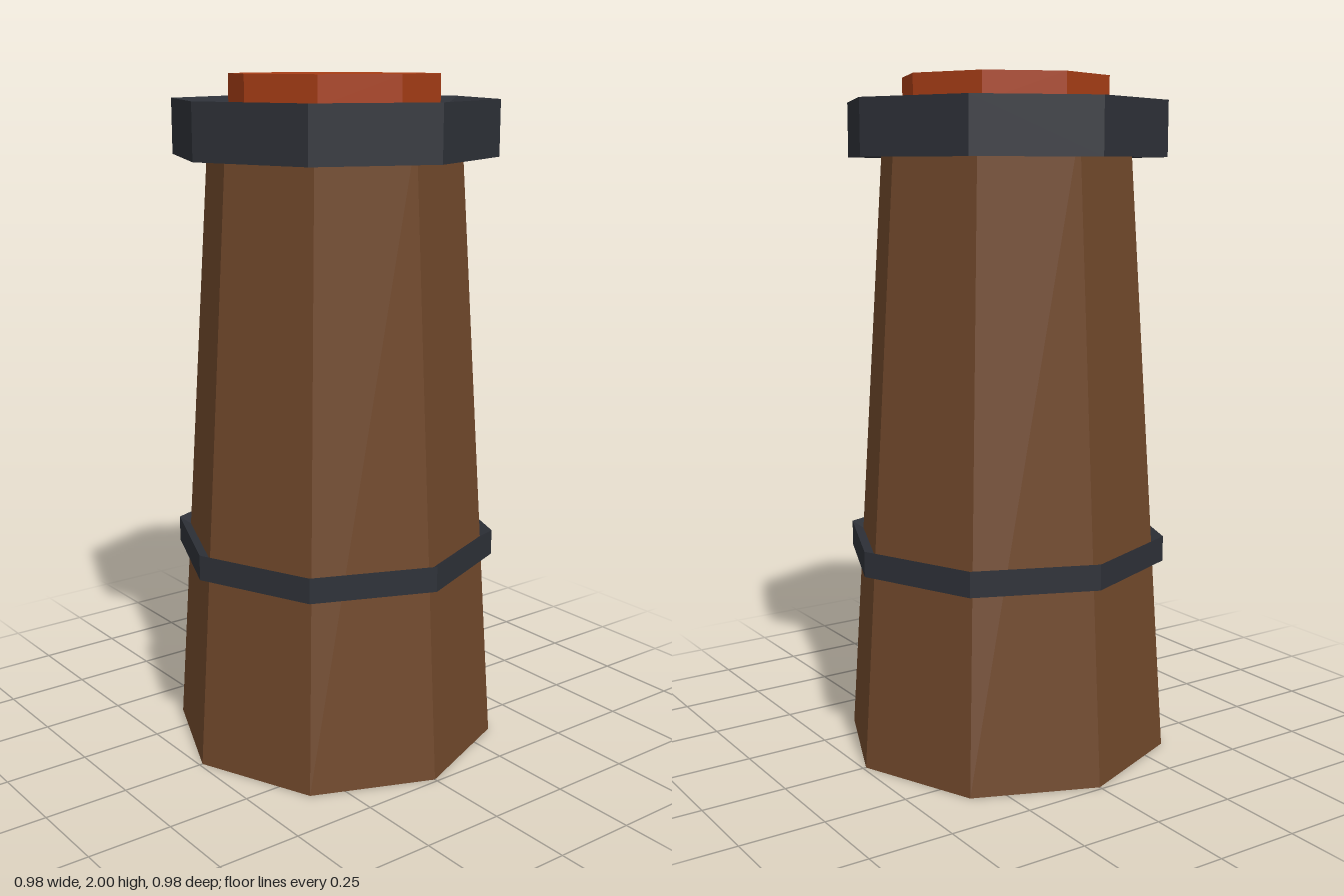
import * as THREE from 'three';

const SIDES = 8;

function material(color) {
  return new THREE.MeshStandardMaterial({ color, flatShading: true });
}

export function createModel() {
  const group = new THREE.Group();
  const wood = material(0x70482b);
  const iron = material(0x2e3138);
  const ember = material(0xa83e16);

  function add(name, geometry, mat, y) {
    const mesh = new THREE.Mesh(geometry, mat);
    mesh.name = name;
    mesh.position.y = y;
    group.add(mesh);
  }

  // Octagonal hoop with a triangular section: flat outer wall, edge pointing inward
  function hoop(outer, inner, height) {
    const h = height / 2;
    const profile = [[outer, -h], [outer, h], [inner, 0], [outer, -h]];
    return new THREE.LatheGeometry(profile.map(([r, y]) => new THREE.Vector2(r, y)), SIDES);
  }

  // Tapered body
  add('body', new THREE.CylinderGeometry(0.368, 0.49, 1.85, SIDES), wood, 0.925);

  // Iron hoops
  add('lowerBand', hoop(0.483, 0.419, 0.075), iron, 0.618);
  add('rim', hoop(0.475, 0.337, 0.16), iron, 1.85);

  // Glowing disc held just above the mouth
  add('topDisc', new THREE.CylinderGeometry(0.306, 0.306, 0.083, SIDES), ember, 1.9585);

  return group;
}
